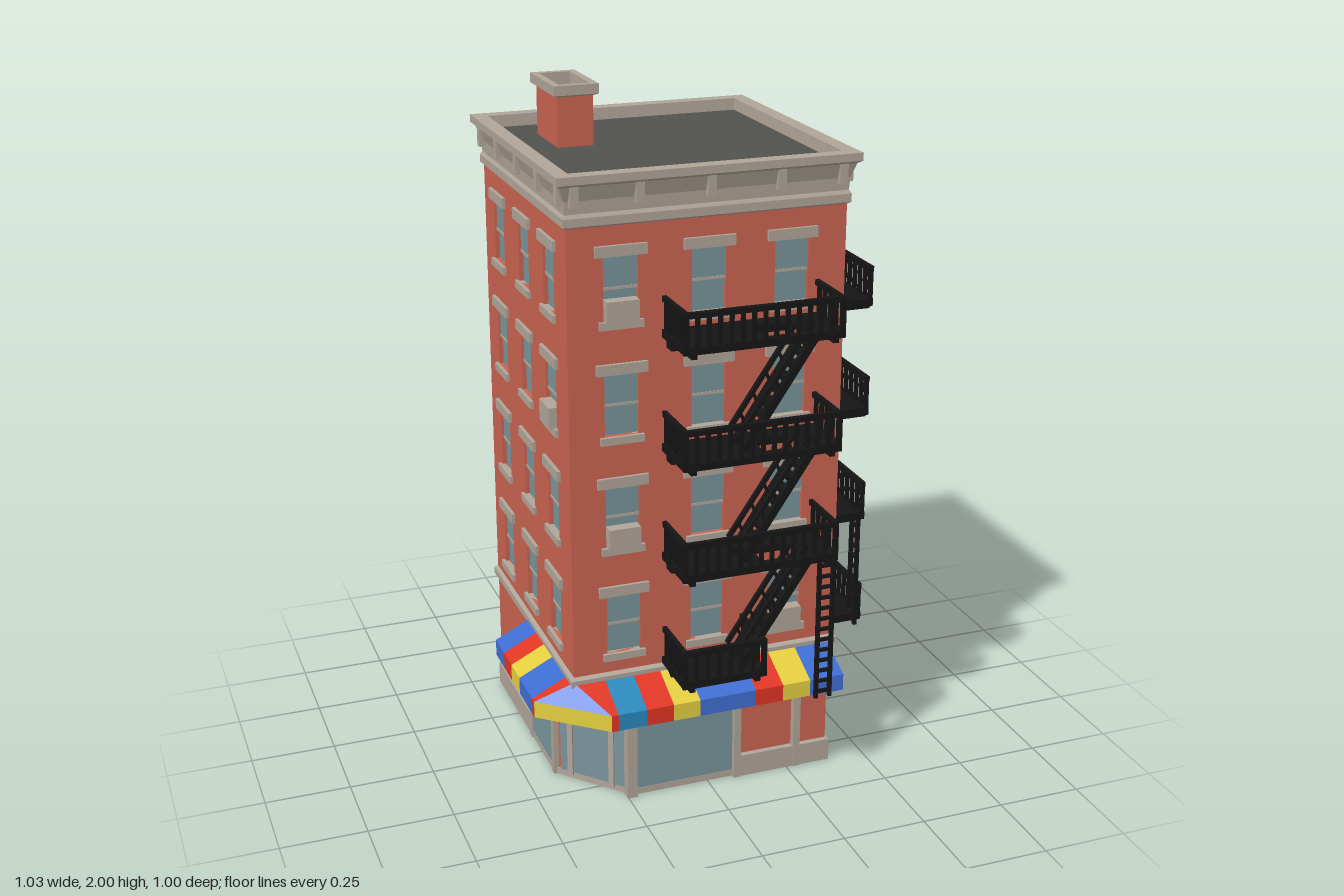
import * as THREE from 'three';

const mat = (name, color, double) => {
  const m = new THREE.MeshStandardMaterial({ color });
  m.name = name;
  if (double) m.side = THREE.DoubleSide;
  return m;
};
const M = {
  brick: mat('brick', 0xca6351),
  stone: mat('stone', 0xb0a598),
  roof: mat('roofing', 0x52534e),
  iron: mat('blackIron', 0x151515),
  glass: mat('glass', 0x78949a),
  blue: mat('awningBlue', 0x3e6dd2, true),
  red: mat('awningRed', 0xe03523, true),
  yellow: mat('awningYellow', 0xe4ce3e, true),
  teal: mat('awningTeal', 0x2888be, true),
};
const HALF = 0.4, CX = -0.005, CZ = -0.075, FLOOR = 0.327;

function add(parent, name, geo, material, x = 0, y = 0, z = 0) {
  const m = new THREE.Mesh(geo, material);
  m.name = name;
  m.position.set(x, y, z);
  parent.add(m);
  return m;
}

// box given by its minimum and maximum corners
function box(parent, name, material, x0, x1, y0, y1, z0, z1) {
  return add(parent, name, new THREE.BoxGeometry(x1 - x0, y1 - y0, z1 - z0), material,
    (x0 + x1) / 2, (y0 + y1) / 2, (z0 + z1) / 2);
}

// bar between two points of a wall plane
function bar(parent, name, x0, y0, x1, y1, z, t, w = t) {
  const m = add(parent, name, new THREE.BoxGeometry(Math.hypot(x1 - x0, y1 - y0), t, w), M.iron,
    (x0 + x1) / 2, (y0 + y1) / 2, z);
  m.rotation.z = Math.atan2(y1 - y0, x1 - x0);
}

// rectangular rings [halfWidth, halfDepth, y] joined by flat faces
function loft(rings) {
  const p = [], sign = [[-1, 1], [1, 1], [1, -1], [-1, -1]];
  const at = (r, k) => [sign[k % 4][0] * r[0], r[2], sign[k % 4][1] * r[1]];
  for (let i = 0; i + 1 < rings.length; i++)
    for (let k = 0; k < 4; k++) {
      const a = at(rings[i], k), b = at(rings[i], k + 1), c = at(rings[i + 1], k + 1), d = at(rings[i + 1], k);
      p.push(...a, ...b, ...c, ...a, ...c, ...d);
    }
  return polygon(p);
}

function polygon(points) {
  const g = new THREE.BufferGeometry();
  g.setAttribute('position', new THREE.Float32BufferAttribute(points, 3));
  g.computeVertexNormals();
  return g;
}

function rect(Type, x0, x1, y0, y1) {
  return new Type([[x0, y0], [x1, y0], [x1, y1], [x0, y1]].map(q => new THREE.Vector2(...q)));
}

// plan shape, drawn in x and -z, raised to a height
function raise(shape, depth) {
  return new THREE.ExtrudeGeometry(shape, { depth, bevelEnabled: false }).rotateX(-Math.PI / 2);
}

// one side of the building; its own +z points outwards
function facade(root, name, angle, columns, widths, units) {
  const g = new THREE.Group();
  g.name = name;
  g.position.set(CX, 0, CZ);
  g.rotation.y = angle;
  root.add(g);
  const wall = rect(THREE.Shape, -HALF, HALF, 0.4, 1.74);
  for (let i = 0; i < 4; i++) {
    const y0 = 0.475 + i * FLOOR, y1 = y0 + 0.178, mid = (y0 + y1) / 2;
    columns.forEach((u, k) => {
      const w = widths[k] / 2;
      wall.holes.push(rect(THREE.Path, u - w, u + w, y0, y1));
      box(g, 'windowPane', M.glass, u - w, u + w, y0, y1, HALF - 0.022, HALF - 0.013);
      box(g, 'windowUpperSash', M.glass, u - w, u + w, mid, y1, HALF - 0.016, HALF - 0.007);
      box(g, 'windowRail', M.stone, u - w, u + w, mid - 0.004, mid + 0.004, HALF - 0.02, HALF - 0.005);
      box(g, 'windowLintel', M.stone, u - w - 0.024, u + w + 0.024, y1, y1 + 0.03, HALF - 0.02, HALF + 0.01);
      box(g, 'windowSill', M.stone, u - w - 0.014, u + w + 0.014, y0 - 0.022, y0, HALF - 0.02, HALF + 0.01);
    });
  }
  const geo = new THREE.ExtrudeGeometry(wall, { depth: 0.03, bevelEnabled: false });
  add(g, 'brickWall', geo, M.brick, 0, 0, HALF - 0.03);
  for (const [k, row] of units) {
    const y = 0.472 + row * FLOOR, u = columns[k];
    box(g, 'airConditioner', M.stone, u - 0.046, u + 0.046, y, y + 0.062, HALF - 0.02, HALF + 0.022);
  }
  for (const u of [-0.38, -0.2, 0, 0.2, 0.38])
    box(g, 'corniceBracket', M.stone, u - 0.012, u + 0.012, 1.775, 1.84, HALF, HALF + 0.02);
  return g;
}

// balcony with balusters; hole is the stair opening [u0, u1, z0, z1]
function balcony(g, u0, u1, y, depth, ends, hole) {
  const b = new THREE.Group();
  b.name = 'fireEscapeBalcony';
  g.add(b);
  const z1 = HALF + depth, top = y + 0.116;
  const deck = rect(THREE.Shape, u0, u1, -z1, -HALF);
  if (hole) deck.holes.push(rect(THREE.Path, hole[0], hole[1], -hole[3], -hole[2]));
  add(b, 'balconyDeck', raise(deck, 0.022), M.iron, 0, y, 0);
  box(b, 'balconyRail', M.iron, u0, u1, top - 0.016, top, z1 - 0.014, z1);
  const n = Math.round((u1 - u0) / 0.034);
  for (let i = 0; i <= n; i++) {
    const u = u0 + 0.006 + (u1 - u0 - 0.012) * i / n, w = i % n ? 0.0055 : 0.0075;
    box(b, 'baluster', M.iron, u - w, u + w, y, top, z1 - 0.012, z1 - 0.002);
  }
  for (const u of [u0 + 0.007, u1 - 0.007]) {
    const s = u < (u0 + u1) / 2 ? 0.02 : -0.02;
    box(b, 'balconyBracket', M.iron, u + s - 0.014, u + s + 0.014, y - 0.03, y, HALF, HALF + 0.04);
    box(b, 'balconyBeam', M.iron, u + s - 0.008, u + s + 0.008, y - 0.012, y, HALF, z1);
    if (!ends) continue;
    box(b, 'endRail', M.iron, u - 0.006, u + 0.006, top - 0.016, top, HALF, z1);
    for (let z = HALF + 0.012; z < z1 - 0.02; z += 0.036)
      box(b, 'endBaluster', M.iron, u - 0.005, u + 0.005, y, top, z, z + 0.011);
  }
}

function ladder(g, u, width, y0, y1, z) {
  for (const s of [-1, 1]) bar(g, 'ladderRail', u + s * width / 2, y0, u + s * width / 2, y1, z, 0.011);
  for (let y = y0 + 0.02; y < y1; y += 0.033) bar(g, 'ladderRung', u - width / 2, y, u + width / 2, y, z, 0.009);
}

function stair(g, y0, y1) {
  const u0 = 0.045, u1 = 0.265, n = 10;
  for (const z of [0.472, 0.54]) {
    bar(g, 'stairStringer', u0, y0, u1, y1, z, 0.022, 0.016);
    bar(g, 'stairHandrail', u0 - 0.01, y0 + 0.05, u1 - 0.025, y1 + 0.025, z, 0.011, 0.014);
    for (let i = 1; i < 6; i++) {
      const u = u0 + (u1 - u0) * i / 6, y = y0 + (y1 - y0) * i / 6;
      bar(g, 'stairPost', u, y, u - 0.018, y + 0.04, z, 0.008);
    }
  }
  for (let i = 1; i < n; i++) {
    const u = u0 + (u1 - u0) * i / n, y = y0 + (y1 - y0) * i / n;
    box(g, 'stairTread', M.iron, u - 0.014, u + 0.014, y - 0.007, y + 0.007, 0.472, 0.54);
  }
}

// striped awning wrapping the front left corner of the shop
function awning(root) {
  const g = new THREE.Group();
  g.name = 'awning';
  root.add(g);
  const side = z => [-0.405, z, -0.515, z], front = x => [x, 0.325, x, 0.45];
  const corner = [-0.405, 0.325];
  const stations = [...[-0.11, -0.02, 0.06, 0.145, 0.275].map(side), [...corner, -0.515, 0.295],
    [...corner, -0.335, 0.45], ...[-0.315, -0.23, -0.15, -0.07, 0.1, 0.185, 0.27, 0.375].map(front)];
  const stripes = ['blue', 'red', 'yellow', 'blue', 'red', 'blue', 'red', 'teal', 'red', 'yellow', 'blue', 'red', 'yellow', 'blue'];
  const TOP = 0.4, EDGE = 0.345, LOW = 0.295;
  const quad = (a, b, c, d) => polygon([...a, ...b, ...c, ...a, ...c, ...d]);
  stripes.forEach((s, i) => {
    const [ax, az, aX, aZ] = stations[i], [bx, bz, bX, bZ] = stations[i + 1];
    add(g, 'awningSlope', quad([aX, EDGE, aZ], [bX, EDGE, bZ], [bx, TOP, bz], [ax, TOP, az]), M[s]);
    add(g, 'awningValance', quad([aX, LOW, aZ], [bX, LOW, bZ], [bX, EDGE, bZ], [aX, EDGE, aZ]),
      i === 5 ? M.yellow : M[s]);
  });
  for (const [x, z, X, Z] of [stations[0], stations[stations.length - 1]])
    add(g, 'awningEnd', quad([x, LOW, z], [X, LOW, Z], [X, EDGE, Z], [x, TOP, z]), M.blue);
}

// ground floor with its front left corner cut off for the shop door
function shop(root) {
  const plan = e => new THREE.Shape([[-0.405 - e, 0.47 + e], [-0.405 - e, -0.13], [-0.235, -0.323 - e],
    [0.382 + e, -0.323 - e], [0.382 + e, 0.47 + e]].map(q => new THREE.Vector2(...q)));
  add(root, 'groundFloor', raise(plan(0), 0.38), M.brick, 0, 0.01);
  add(root, 'baseSlab', raise(plan(0.006), 0.02), M.stone);
  box(root, 'shopSoffit', M.stone, -0.4, 0.38, 0.382, 0.4, -0.47, 0.32);
  box(root, 'rightPlinth', M.stone, 0.09, 0.388, 0, 0.068, -0.475, 0.34);
  box(root, 'backPlinth', M.stone, -0.412, 0.388, 0, 0.068, -0.477, -0.12);
  box(root, 'shopWindow', M.glass, -0.225, 0.085, 0.02, 0.38, 0.32, 0.328);
  box(root, 'sideShopWindow', M.glass, -0.41, -0.402, 0.02, 0.38, -0.1, 0.12);
  for (const [x, w] of [[-0.238, 0.015], [0.09, 0.011], [0.28, 0.011]])
    box(root, 'shopPost', M.stone, x - w, x + w, 0, 0.385, 0.305, 0.343);
  for (const z of [-0.105, 0.125])
    box(root, 'sideShopPost', M.stone, -0.415, -0.385, 0, 0.385, z - 0.012, z + 0.012);
  const door = new THREE.Group();
  door.name = 'cornerDoor';
  door.position.set(-0.32, 0, 0.2265);
  door.rotation.y = -Math.atan2(0.193, 0.17);
  root.add(door);
  box(door, 'doorGlass', M.glass, -0.11, 0.11, 0.02, 0.38, -0.003, 0.005);
  for (const u of [-0.075, 0.065]) box(door, 'doorFrame', M.stone, u - 0.009, u + 0.009, 0.01, 0.38, 0, 0.01);
}

export function createModel() {
  const root = new THREE.Group();
  root.name = 'apartmentBuilding';

  shop(root);
  awning(root);
  add(root, 'floorBand', loft([[0.39, 0.39, 0.38], [0.41, 0.41, 0.387], [0.41, 0.41, 0.408], [0.398, 0.398, 0.418]]),
    M.stone, CX, 0, CZ);

  // upper walls
  const cols = [-0.25, 0, 0.24], w = [0.098, 0.098, 0.098];
  const front = facade(root, 'frontFacade', 0, cols, w, [[0, 3], [0, 1], [2, 0]]);
  const right = facade(root, 'rightFacade', Math.PI / 2, [-0.25, -0.05, 0.245], [0.094, 0.076, 0.094], [[2, 3], [0, 2], [2, 1]]);
  facade(root, 'backFacade', Math.PI, cols, w, [[2, 3], [0, 1]]);
  facade(root, 'leftFacade', -Math.PI / 2, cols, w, [[2, 2]]);

  // fire escapes
  for (let i = 0; i < 4; i++) {
    const y = 0.415 + i * FLOOR;
    balcony(front, -0.135, i ? 0.325 : 0.115, y, 0.175, true, i ? [0.105, 0.265, 0.46, 0.55] : null);
    balcony(right, -0.34, 0.28, y, 0.12, false);
    if (i < 3) stair(front, y + 0.02, y + FLOOR + 0.02);
  }
  ladder(front, 0.295, 0.042, 0.31, 0.77, 0.566);
  ladder(right, -0.32, 0.04, 0.4, 0.77, 0.5);

  // cornice, parapet and roof
  add(root, 'cornice', loft([[0.398, 0.398, 1.715], [0.409, 0.409, 1.722], [0.409, 0.409, 1.745], [0.403, 0.403, 1.755],
    [0.405, 0.405, 1.79], [0.418, 0.418, 1.83], [0.43, 0.43, 1.838], [0.43, 0.43, 1.86],
    [0.387, 0.387, 1.86], [0.385, 0.385, 1.815]]), M.stone, CX, 0, CZ);
  box(root, 'roof', M.roof, -0.395, 0.385, 1.79, 1.825, -0.465, 0.315);

  // hollow chimney
  box(root, 'chimney', M.brick, -0.28, -0.175, 1.8, 1.955, -0.335, -0.135);
  add(root, 'chimneyCap', loft([[0.05, 0.098, 1.965], [0.066, 0.114, 1.972], [0.066, 0.114, 2],
    [0.045, 0.093, 2], [0.045, 0.093, 1.95]]), M.stone, -0.2275, 0, -0.235);
  add(root, 'chimneyNeck', loft([[0.0525, 0.1, 1.95], [0.0525, 0.1, 1.97]]), M.brick, -0.2275, 0, -0.235);
  return root;
}
